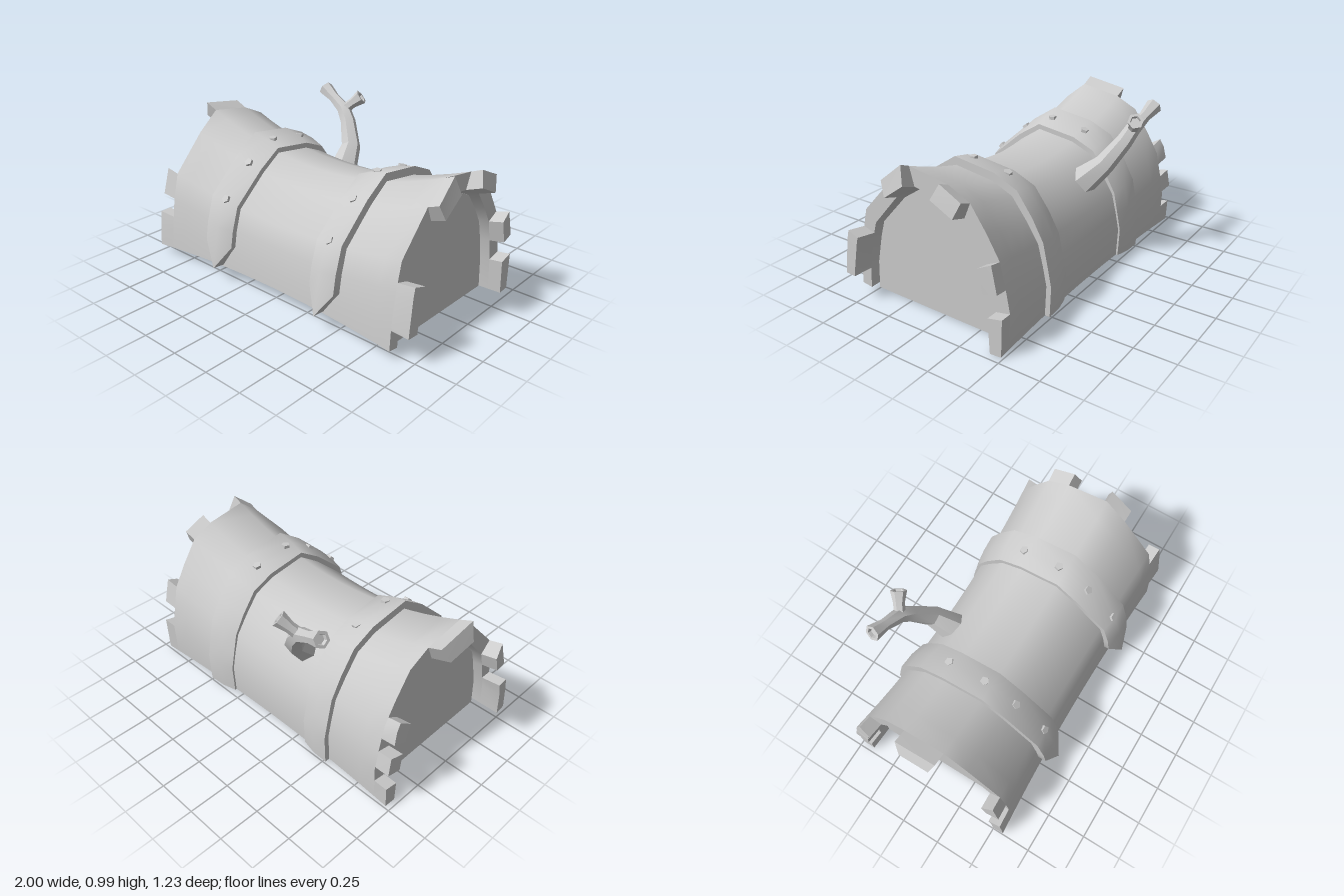
import * as THREE from 'three';
import { toCreasedNormals } from 'three/addons/utils/BufferGeometryUtils.js';

// Arch cross-sections as [z, y], from the front edge over the top to the back edge
const OUTER = [[0.568, 0.05], [0.558, 0.2], [0.53, 0.4], [0.488, 0.58], [0.28, 0.82], [0.14, 0.943], [-0.12, 0.9],
  [-0.26, 0.83], [-0.36, 0.68], [-0.44, 0.54], [-0.475, 0.38], [-0.5, 0.24], [-0.492, 0.01]];
const INNER = [[0.5, 0.04], [0.49, 0.2], [0.45, 0.4], [0.42, 0.51], [0.245, 0.725], [0.11, 0.825], [-0.08, 0.8],
  [-0.22, 0.73], [-0.3, 0.61], [-0.36, 0.5], [-0.39, 0.36], [-0.41, 0.22], [-0.42, 0.005]];
const LAST = OUTER.length - 1;
const ROOT = 0.88; // where the shell ends and its teeth begin

const material = new THREE.MeshStandardMaterial({ color: 0xcccccc });

// Point on the saddle-shaped log: the arch is lower and narrower in the middle
function archPoint(profile, u, x) {
  const c = THREE.MathUtils.clamp(u, 0, LAST);
  const i = Math.min(Math.floor(c), LAST - 1);
  const z = THREE.MathUtils.lerp(profile[i][0], profile[i + 1][0], c - i);
  const y = THREE.MathUtils.lerp(profile[i][1], profile[i + 1][1], c - i);
  const lift = 0.05 * (1 - x * x) * (1 - y) * Math.max(0, z + 0.5);
  const waist = z > 0 ? 0.06 : 0.09;
  return new THREE.Vector3(x, y * (0.75 + 0.25 * x * x) + lift, z * (1 - waist * (1 - x * x)));
}

function archNormal(u, x) {
  const t = archPoint(OUTER, u + 0.5, x).sub(archPoint(OUTER, u - 0.5, x));
  return new THREE.Vector3(0, -t.z, t.y).normalize();
}

const raised = (u, x, offset) => archPoint(OUTER, u, x).addScaledVector(archNormal(u, x), offset);

// Closed curved slab between two grids of points
function slab(rows, cols, outerAt, innerAt) {
  const pos = [], index = [];
  const count = rows * cols;
  for (const at of [outerAt, innerAt])
    for (let r = 0; r < rows; r++)
      for (let c = 0; c < cols; c++) pos.push(...at(r, c).toArray());
  const id = (r, c) => r * cols + c;
  for (let r = 0; r < rows - 1; r++)
    for (let c = 0; c < cols - 1; c++) {
      const [a, b, d, e] = [id(r, c), id(r, c + 1), id(r + 1, c + 1), id(r + 1, c)];
      index.push(a, b, d, a, d, e);
      index.push(a + count, d + count, b + count, a + count, e + count, d + count);
    }
  const rim = (p, q) => index.push(q, p, p + count, q, p + count, q + count);
  for (let c = 0; c < cols - 1; c++) {
    rim(id(0, c), id(0, c + 1));
    rim(id(rows - 1, c + 1), id(rows - 1, c));
  }
  for (let r = 0; r < rows - 1; r++) {
    rim(id(r, cols - 1), id(r + 1, cols - 1));
    rim(id(r + 1, 0), id(r, 0));
  }
  const g = new THREE.BufferGeometry();
  g.setAttribute('position', new THREE.Float32BufferAttribute(pos, 3));
  g.setIndex(index);
  return toCreasedNormals(g, 0.96);
}

// Piece of bark between two arch positions and two x positions; upper tooth tips are cut square to the flare
function bark(u0, u1, x0, x1, steps) {
  const us = [u0];
  for (let i = Math.floor(u0) + 1; i < u1; i++) us.push(i);
  us.push(u1);
  const xAt = c => x0 + (x1 - x0) * c / steps;
  const cutX = (u, x) =>
    x - Math.sign(x) * 0.33 * Math.max(0, Math.abs(x) - ROOT) * Math.max(0, archNormal(u, x).y);
  return slab(us.length, steps + 1,
    (r, c) => archPoint(OUTER, us[r], cutX(us[r], xAt(c))),
    (r, c) => archPoint(INNER, us[r], xAt(c)));
}

// Raised band with a pointed front end and a thinner back end
function strapGeometry(side) {
  const xs = side < 0 ? [-0.515, -0.415, -0.32] : [0.315, 0.405, 0.51];
  const us = [1.3];
  for (let i = 2; i <= LAST; i++) us.push(i);
  const uAt = (r, c) => (r === 0 && c === 1 ? 0.1 : us[r]);
  const lift = (r, c) => {
    const crown = c === 1 ? Math.max(0.01, 0.04 - 0.015 * r) : 0;
    const back = 0.02 * THREE.MathUtils.smoothstep(us[r], 7, 10);
    return 0.1 * Math.abs(xs[c]) + crown - back;
  };
  return slab(us.length, 3,
    (r, c) => raised(uAt(r, c), xs[c], lift(r, c)),
    (r, c) => raised(uAt(r, c), xs[c], -0.015));
}

// Faceted limb through points [x, y, z, radius], ending in a hollowed cut
function limb(points, sides = 6) {
  const pts = points.map(p => new THREE.Vector3(p[0], p[1], p[2]));
  const n = pts.length;
  const rings = pts.map((p, i) => ({
    p, r: points[i][3],
    t: pts[Math.min(i + 1, n - 1)].clone().sub(pts[Math.max(i - 1, 0)]).normalize(),
  }));
  const end = rings[n - 1];
  const sunk = end.p.clone().addScaledVector(end.t, -0.02);
  rings.push({ ...end, r: end.r * 0.65 }, { ...end, p: sunk, r: end.r * 0.55 }, { ...end, p: sunk, r: 0.0001 });
  const pos = [], index = [];
  for (const { p, r, t } of rings) {
    const a = new THREE.Vector3(0, 0, 1).cross(t).normalize();
    const b = t.clone().cross(a);
    for (let k = 0; k < sides; k++) {
      const w = k / sides * Math.PI * 2;
      pos.push(...p.clone().addScaledVector(a, Math.cos(w) * r).addScaledVector(b, Math.sin(w) * r).toArray());
    }
  }
  for (let i = 0; i < rings.length - 1; i++)
    for (let k = 0; k < sides; k++) {
      const a = i * sides + k, b = i * sides + (k + 1) % sides;
      index.push(a, b, b + sides, a, b + sides, a + sides);
    }
  const g = new THREE.BufferGeometry();
  g.setAttribute('position', new THREE.Float32BufferAttribute(pos, 3));
  g.setIndex(index);
  return toCreasedNormals(g, 0.4);
}

export function createModel() {
  const model = new THREE.Group();
  model.name = 'hollowLog';
  const add = (name, geometry, parent = model) => {
    const mesh = new THREE.Mesh(geometry, material);
    mesh.name = name;
    parent.add(mesh);
    return mesh;
  };

  // Hollow half log
  add('barkShell', bark(0, LAST, -ROOT, ROOT, 16));

  // Ragged teeth on both ends: arch start, arch end, tip x
  const teeth = [
    [0, 1.4, -1], [2.05, 3, -0.98], [5, 6, -1], [8.65, 9.5, -0.98], [10.05, 10.85, -0.98], [11.4, 12, -0.97],
    [0.87, 2.33, 1], [4, 5, 0.97], [6, 7, 0.98], [9, 10, 0.97], [11, 12, 0.96],
  ];
  const ragged = new THREE.Group();
  ragged.name = 'raggedEnds';
  model.add(ragged);
  for (const [u0, u1, tip] of teeth) {
    const root = Math.sign(tip) * ROOT;
    add('barkTooth', bark(u0, u1, Math.min(root, tip), Math.max(root, tip), 1), ragged);
  }

  // Flat panels closing the ends, reaching just below the front edge
  for (const side of [-1, 1]) {
    const outline = INNER.map((_, u) => archPoint(INNER, u, side * 0.8));
    outline[0].y = 0.02;
    const shape = new THREE.Shape(outline.map(p => new THREE.Vector2(p.z, p.y)));
    const g = new THREE.ExtrudeGeometry(shape, { depth: 0.04, bevelEnabled: false });
    g.translate(0, 0, -0.02).rotateY(-Math.PI / 2).translate(side * 0.8, 0, 0);
    add('endPanel', g);
  }

  // Straps with low five-sided pegs
  for (const side of [-1, 1]) {
    const strap = new THREE.Group();
    strap.name = side < 0 ? 'rightStrap' : 'leftStrap';
    model.add(strap);
    add('band', strapGeometry(side), strap);
    for (const u of [3.05, 4, 5.17, 6.15]) {
      const x = side * 0.41;
      const peg = add('peg', toCreasedNormals(new THREE.CylinderGeometry(0.026, 0.028, 0.04, 5), 0.4), strap);
      peg.position.copy(raised(u, x, 0.04));
      peg.quaternion.setFromUnitVectors(new THREE.Vector3(0, 1, 0), archNormal(u, x));
    }
  }

  // Forked branch growing from the back
  const branch = new THREE.Group();
  branch.name = 'branch';
  model.add(branch);
  add('mainLimb', limb([[-0.16, 0.53, -0.28, 0.092], [-0.2, 0.66, -0.41, 0.062], [-0.29, 0.79, -0.485, 0.05],
    [-0.35, 0.86, -0.51, 0.045], [-0.45, 0.91, -0.53, 0.035], [-0.54, 0.955, -0.545, 0.05]]), branch);
  add('sideLimb', limb([[-0.35, 0.85, -0.505, 0.035], [-0.3, 0.9, -0.54, 0.033], [-0.25, 0.945, -0.57, 0.048]]), branch);

  return model;
}
